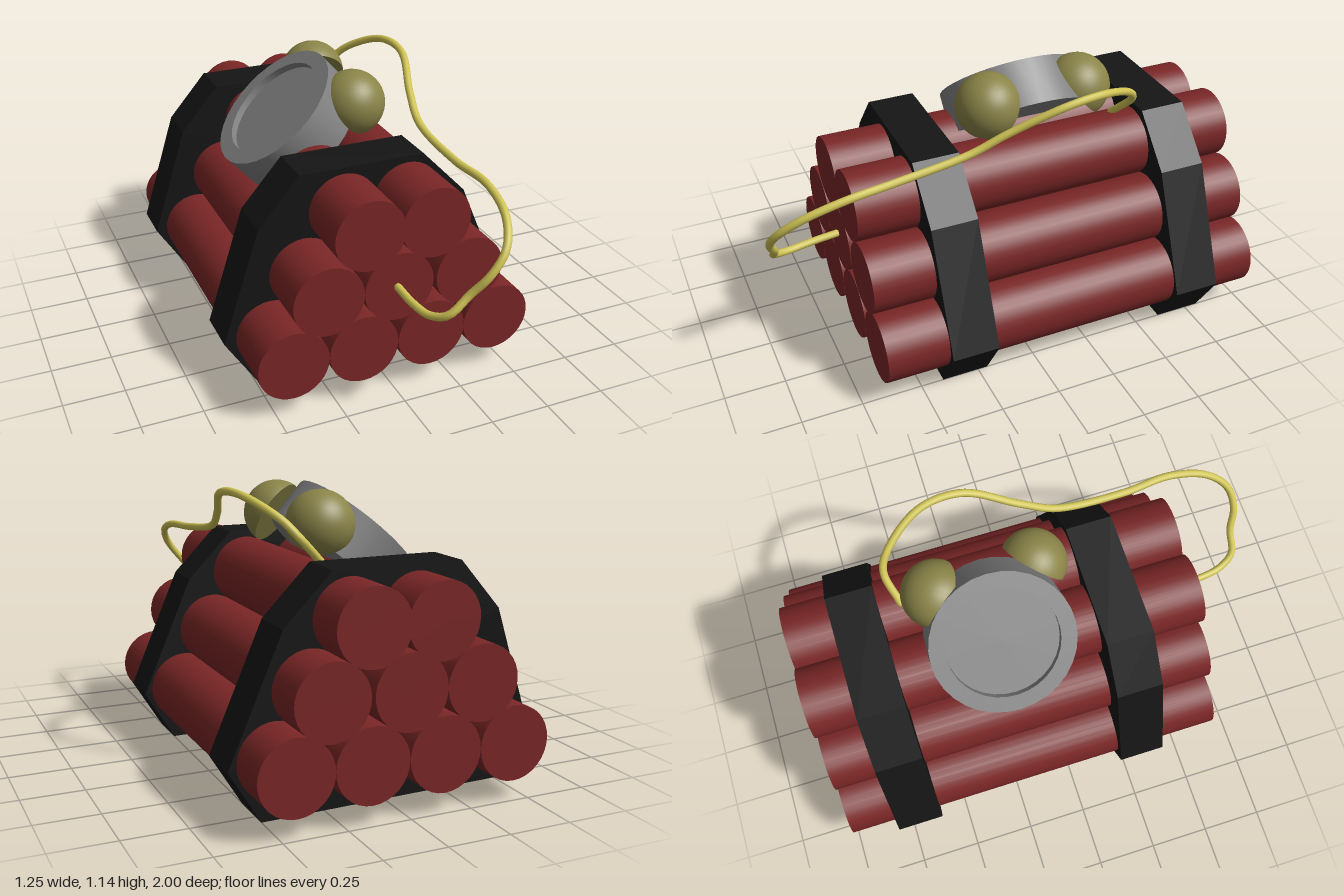
import * as THREE from 'three';
import { toCreasedNormals } from 'three/addons/utils/BufferGeometryUtils.js';

const material = (color) => new THREE.MeshStandardMaterial({ color });

export function createModel() {
  const model = new THREE.Group();
  const red = material(0x7a2626);
  const black = material(0x151515);
  const grey = material(0x808080);
  const olive = material(0x8a8448);
  const yellow = material(0xd0c455);

  const add = (name, geometry, mat, parent = model) => {
    const mesh = new THREE.Mesh(geometry, mat);
    mesh.name = name;
    parent.add(mesh);
    return mesh;
  };

  // Stacked tubes, running front to back
  const rows = [
    [0.225, [-0.43, -0.137, 0.156, 0.447]],
    [0.473, [-0.285, 0.007, 0.313]],
    [0.718, [-0.117, 0.157]],
  ];
  const stickGeometry = new THREE.CylinderGeometry(0.146, 0.146, 1.66, 32).rotateX(Math.PI / 2);
  for (const [y, xs] of rows) {
    for (const x of xs) add('stick', stickGeometry, red).position.set(x, y, -0.17);
  }

  // Two solid straps around the stack
  const outline = [
    [-0.5, 0.015], [0.5, 0], [0.625, 0.205], [0.415, 0.695],
    [0.225, 0.89], [-0.3, 0.89], [-0.47, 0.695], [-0.625, 0.215],
  ].map(([x, y]) => new THREE.Vector2(x, y));
  const strapGeometry = new THREE.ExtrudeGeometry(new THREE.Shape(outline), {
    depth: 0.195, bevelEnabled: false,
  });
  add('frontStrap', strapGeometry, black).position.z = 0.21;
  add('backStrap', strapGeometry, black).position.z = -0.807;

  // Clock body with a raised rim around a sunken face, tilted to the side
  const clockProfile = [
    [0, -0.19], [0.296, -0.19], [0.296, 0], [0.23, 0], [0.23, -0.03], [0, -0.03],
  ].map(([r, h]) => new THREE.Vector2(r, h));
  const clockGeometry = toCreasedNormals(new THREE.LatheGeometry(clockProfile, 32), 0.6);
  const clock = add('clock', clockGeometry, grey);
  clock.position.set(-0.187, 0.938, -0.18);
  clock.rotation.z = 0.73;

  // Domed bells on the clock's upper edge
  const up = new THREE.Vector3(0, 1, 0);
  const addBell = (name, position, axis) => {
    const bell = new THREE.Group();
    bell.name = name;
    add('dome', new THREE.SphereGeometry(0.137, 32, 12, 0, Math.PI * 2, 0, Math.PI / 2), olive, bell);
    add('domeBase', new THREE.CircleGeometry(0.137, 32).rotateX(Math.PI / 2), olive, bell);
    bell.position.set(...position);
    bell.quaternion.setFromUnitVectors(up, new THREE.Vector3(...axis).normalize());
    model.add(bell);
  };
  addBell('frontBell', [0.086, 0.988, 0.025], [0.55, 0.5, 0.67]);
  addBell('backBell', [0.075, 0.988, -0.38], [0.25, 0.64, -0.73]);

  // Wire from the front of the middle tube, over the top, to behind the clock
  const path = new THREE.CatmullRomCurve3([
    [-0.005, 0.48, 0.67], [0, 0.472, 0.78], [0.02, 0.472, 0.88], [0.06, 0.5, 0.945],
    [0.14, 0.575, 0.955], [0.2, 0.65, 0.982], [0.27, 0.735, 0.965], [0.32, 0.815, 0.87],
    [0.337, 0.868, 0.7], [0.315, 0.88, 0.5], [0.31, 0.925, 0.2], [0.34, 1, 0.05],
    [0.405, 1.105, -0.17], [0.385, 1.11, -0.35], [0.29, 1.03, -0.51],
    [0.235, 0.965, -0.55], [0.13, 0.86, -0.52],
  ].map((p) => new THREE.Vector3(...p)));
  add('wire', new THREE.TubeGeometry(path, 96, 0.016, 10), yellow);
  // Wire end caps
  for (const t of [0, 1]) {
    add('wireEnd', new THREE.SphereGeometry(0.016, 10, 6), yellow).position.copy(path.getPoint(t));
  }

  return model;
}
